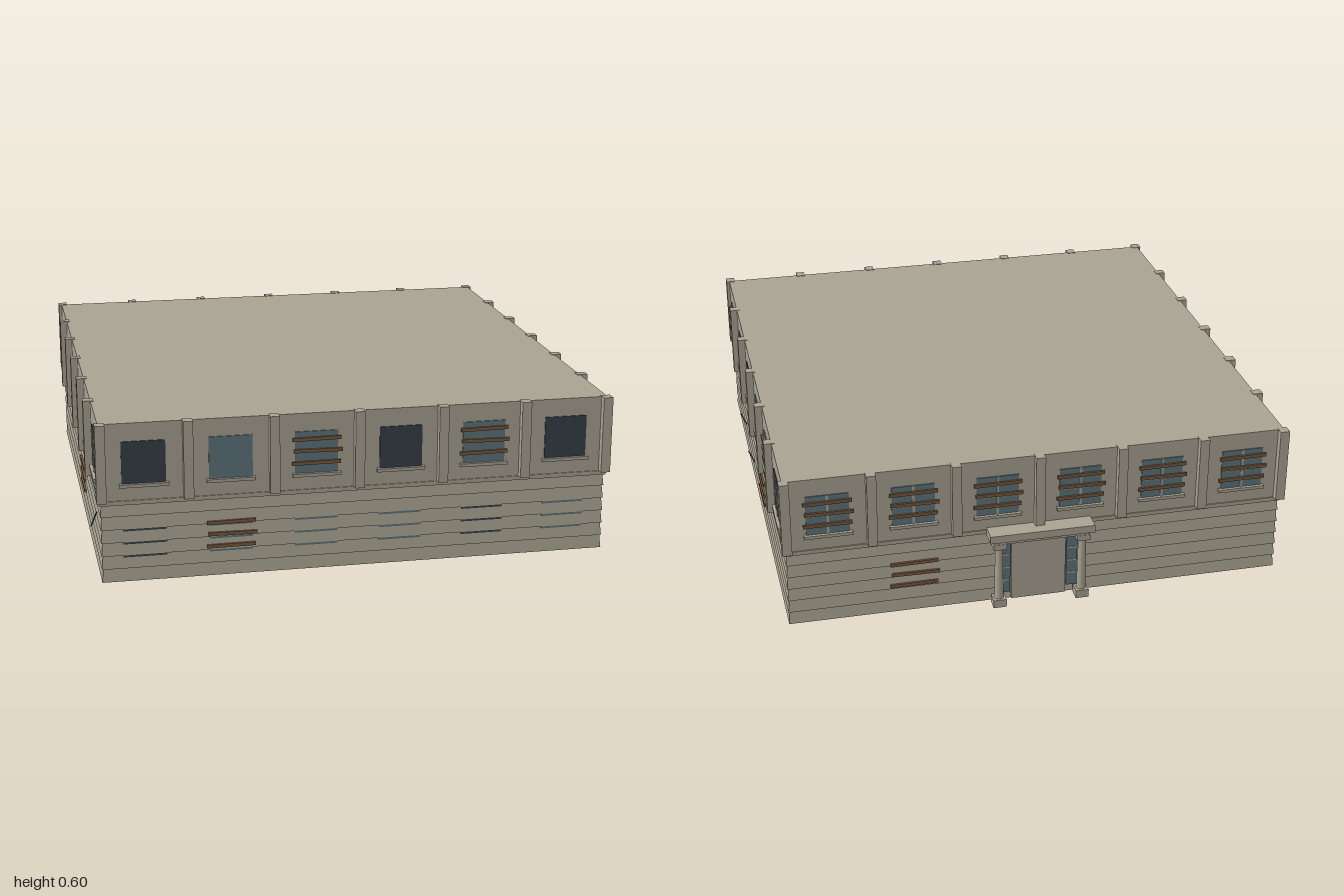
import * as THREE from 'three';

const mat = (name, color) => {
  const m = new THREE.MeshStandardMaterial({ color });
  m.name = name;
  return m;
};

export function createModel() {
  const stone = mat('stone', 0xaaa393);
  const darkGlass = mat('darkGlass', 0x35414a);
  const blueGlass = mat('blueGlass', 0x5d757d);
  const wood = mat('wood', 0x7a5a3e);

  const HALF = 0.95, BAY = 0.316, WIN = 0.16;
  const model = new THREE.Group();
  model.name = 'building';
  const block = new THREE.Group();
  block.name = 'block';
  block.position.z = 0.022;
  model.add(block);

  const box = (parent, name, m, w, h, d, x, y, z, tilt = 0) => {
    const mesh = new THREE.Mesh(new THREE.BoxGeometry(w, h, d), m);
    mesh.name = name;
    mesh.position.set(x, y, z);
    mesh.rotation.z = tilt;
    parent.add(mesh);
    return mesh;
  };

  // Lower storey: six overlapping courses, each leaning slightly inwards
  for (let i = 0; i < 6; i++) {
    const g = new THREE.CylinderGeometry((HALF - 0.005) * Math.SQRT2, HALF * Math.SQRT2, 0.05, 4);
    g.rotateY(Math.PI / 4);
    const course = new THREE.Mesh(g.toNonIndexed(), stone);
    course.geometry.computeVertexNormals();
    course.name = 'sidingCourse';
    course.position.y = 0.025 + i * 0.05;
    block.add(course);
  }

  // Upper storey with flat roof, and the ledge below it
  box(block, 'upperStorey', stone, HALF * 2, 0.3, HALF * 2, 0, 0.45, 0);
  box(block, 'ledge', stone, HALF * 2 + 0.008, 0.016, HALF * 2 + 0.008, 0, 0.302, 0);

  // Three crooked planks nailed over a window
  const planks = (parent, x, y, z) => {
    [[0, 0.045, 0.012], [0.005, 0, -0.01], [-0.002, -0.046, 0.006]].forEach(([dx, dy, t]) =>
      box(parent, 'plank', wood, 0.18, 0.013, 0.008, x + dx, y + dy, z, t));
  };

  // d = dark, b = blue, p = blue with planks; one letter per bay, left to right
  const walls = [
    { name: 'frontWall', turn: 0, upper: 'dbpdpd', lower: 'dbbbdb', boarded: 1, bars: false, ends: true },
    { name: 'leftWall', turn: Math.PI / 2, upper: 'pddbpd', boarded: 3, bars: true, ends: false },
    { name: 'backWall', turn: Math.PI, upper: 'pppppp', boarded: 1, bars: true, ends: true },
    { name: 'rightWall', turn: -Math.PI / 2, upper: 'pddpdd', boarded: 3, bars: true, ends: false },
  ];

  for (const w of walls) {
    const wall = new THREE.Group();
    wall.name = w.name;
    wall.rotation.y = w.turn;
    block.add(wall);

    // Pilasters between the bays
    const last = w.ends ? 3 : 2;
    for (let i = -last; i <= last; i++) {
      box(wall, 'pilaster', stone, 0.036, 0.292, 0.04, i * 0.315, 0.456, HALF + 0.008);
    }

    for (let i = 0; i < 6; i++) {
      const x = (i - 2.5) * BAY, kind = w.upper[i];
      // Upper window: glass, sill, glazing bars
      box(wall, 'windowGlass', kind === 'd' ? darkGlass : blueGlass, WIN, WIN, 0.008, x, 0.452, HALF);
      box(wall, 'windowSill', stone, 0.18, 0.012, 0.02, x, 0.368, HALF + 0.006);
      if (w.bars) {
        box(wall, 'glazingBar', stone, 0.009, WIN, 0.008, x, 0.452, HALF + 0.003);
        box(wall, 'glazingBar', stone, WIN, 0.008, 0.008, x, 0.452, HALF + 0.003);
      }
      if (kind === 'p') planks(wall, x, 0.46, HALF + 0.011);

      // Lower window glass, showing only at the tops of the courses
      if (w.lower) {
        box(wall, 'lowerGlass', w.lower[i] === 'd' ? darkGlass : blueGlass,
          WIN, 0.145, 0.006, x, 0.1525, HALF - 0.0071);
      }
      if (i === w.boarded) planks(wall, x, 0.16, HALF + 0.003);
    }
  }

  // Loose splinters hanging from the side walls
  [[1, 0.16, 0.125], [1, 0.47, 0.15], [-1, 0.79, 0.19]].forEach(([s, z, y]) => {
    const splinter = box(block, 'splinter', darkGlass, 0.004, 0.06, 0.006, s * (HALF + 0.012), y, z);
    splinter.rotation.z = -s * 0.4 * (z > 0.7 ? -1 : 1);
  });

  // Back entrance: door, sidelights, columns and canopy
  const porch = new THREE.Group();
  porch.name = 'porch';
  porch.position.z = -0.928;
  porch.rotation.y = Math.PI;
  model.add(porch);
  box(porch, 'door', stone, 0.21, 0.25, 0.01, 0, 0.125, 0.002);
  box(porch, 'canopy', stone, 0.4, 0.03, 0.072, 0, 0.303, 0.036);
  box(porch, 'lintel', stone, 0.36, 0.016, 0.055, 0, 0.281, 0.032);
  for (const s of [-1, 1]) {
    box(porch, 'sidelight', blueGlass, 0.042, 0.22, 0.008, s * 0.13, 0.14, 0.002);
    for (const y of [0.085, 0.14, 0.195]) {
      box(porch, 'sidelightBar', stone, 0.042, 0.006, 0.008, s * 0.13, y, 0.004);
    }
    box(porch, 'columnBase', stone, 0.05, 0.032, 0.05, s * 0.16, 0.016, 0.036);
    box(porch, 'columnCap', stone, 0.05, 0.022, 0.05, s * 0.16, 0.262, 0.036);
    const shaft = new THREE.Mesh(new THREE.CylinderGeometry(0.015, 0.018, 0.22, 12), stone);
    shaft.name = 'column';
    shaft.position.set(s * 0.16, 0.142, 0.036);
    porch.add(shaft);
  }

  return model;
}
